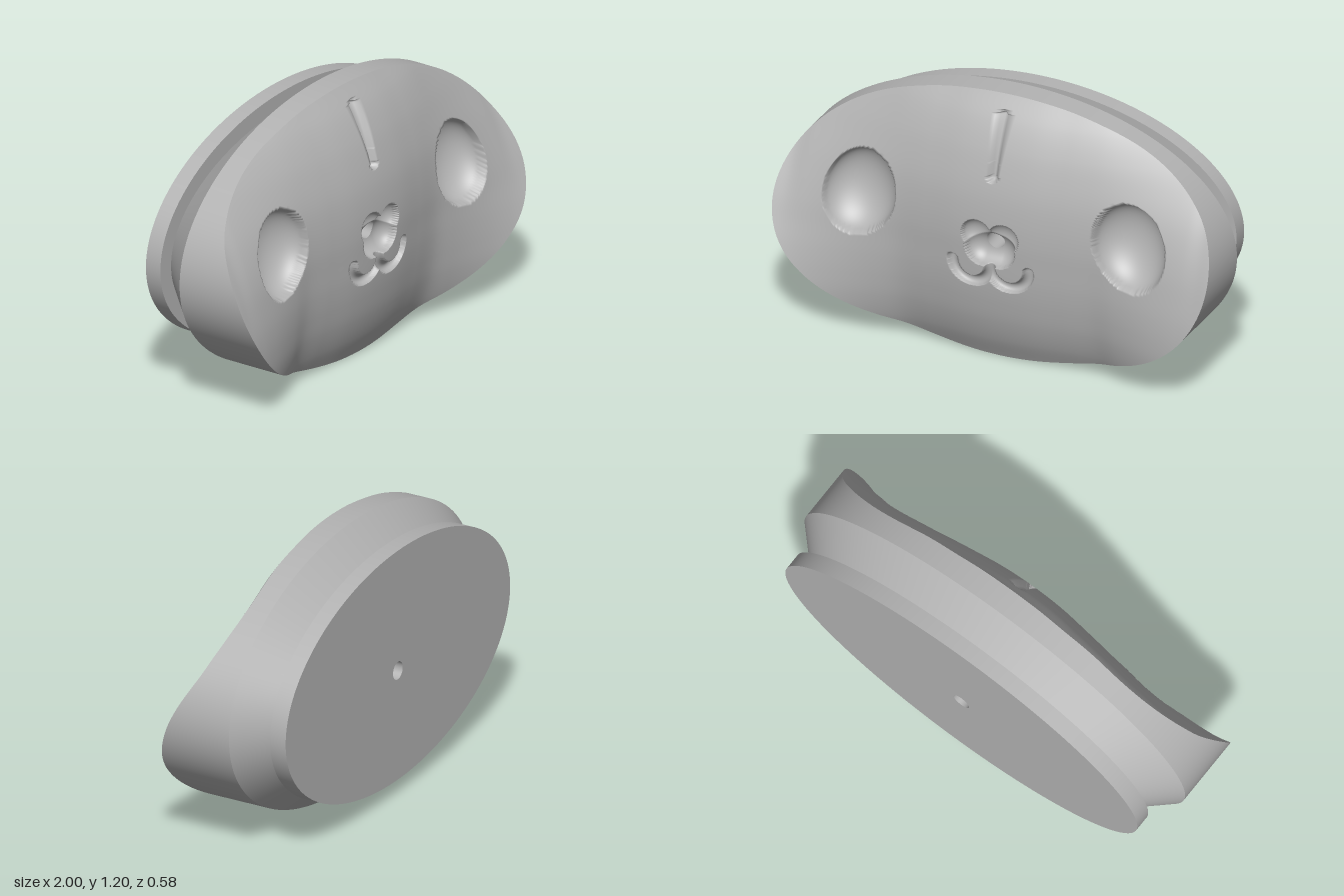
import * as THREE from 'three';

// Smooth curve through [position, value] keys (cubic Hermite)
function curve(keys) {
  const n = keys.length - 1;
  const slope = keys.map((k, i) => {
    const a = keys[Math.max(i - 1, 0)], b = keys[Math.min(i + 1, n)];
    return (b[1] - a[1]) / (b[0] - a[0]);
  });
  return (x) => {
    let i = 0;
    while (i < n - 1 && x > keys[i + 1][0]) i++;
    const [x0, y0] = keys[i], [x1, y1] = keys[i + 1], h = x1 - x0;
    const t = Math.min(Math.max((x - x0) / h, 0), 1), t2 = t * t, t3 = t2 * t;
    return y0 * (2 * t3 - 3 * t2 + 1) + y1 * (3 * t2 - 2 * t3) +
      h * (slope[i] * (t3 - 2 * t2 + t) + slope[i + 1] * (t3 - t2));
  };
}

// Face relief: a profile down the middle, plus cheeks that swell low and recede high
const middle = curve([[0, 0.115], [0.1, 0.165], [0.2, 0.2], [0.3, 0.222], [0.4, 0.236], [0.5, 0.243],
  [0.6, 0.247], [0.7, 0.243], [0.8, 0.23], [0.9, 0.205], [1, 0.17], [1.1, 0.12], [1.2, 0.05]]);
const cheekOffset = curve([[-0.15, -0.006], [0, 0], [0.15, -0.006], [0.31, -0.025], [0.44, -0.039],
  [0.55, -0.038], [0.75, -0.032], [0.87, -0.026], [0.94, -0.022], [1, -0.012]]);
const cheekTilt = curve([[-0.31, 0], [0, 0], [0.31, 0.003], [0.44, 0.022], [0.55, 0.085],
  [0.75, 0.22], [0.87, 0.313], [0.94, 0.385], [1, 0.43]]);
const relief = (x, y) =>
  middle(y) + cheekOffset(Math.abs(x)) - cheekTilt(Math.abs(x)) * (y - 0.6);

// Distance to a line from (ax, ay) to (bx, by)
function segment(x, y, ax, ay, bx, by) {
  const dx = bx - ax, dy = by - ay;
  const t = Math.min(Math.max(((x - ax) * dx + (y - ay) * dy) / (dx * dx + dy * dy), 0), 1);
  return Math.hypot(x - ax - t * dx, y - ay - t * dy);
}

// Hollows, mirrored in x: distance from the centre line, radius and depth
const hollows = [
  { // eye sockets
    radius: 0.17, depth: 0.13,
    dist: (x, y) => 0.17 * Math.hypot((x - 0.62 + 0.1 * (y - 0.67)) / 0.166, (y - 0.67) / 0.185),
  },
  { radius: 0.07, depth: 0.06, dist: (x, y) => Math.hypot(x - 0.06, y - 0.615) }, // upper nose lobes
  { radius: 0.08, depth: 0.075, dist: (x, y) => segment(x, y, -0.035, 0.555, 0.035, 0.555) }, // lower nose
  { // mouth arcs
    radius: 0.025, depth: 0.03,
    dist: (x, y) => y < 0.48
      ? Math.abs(Math.hypot(x - 0.087, y - 0.48) - 0.087)
      : Math.hypot(Math.abs(x - 0.087) - 0.087, y - 0.48),
  },
  { radius: 0.022, depth: 0.03, dist: (x, y) => segment(x, y, 0, 0.877, 0, 1.123) }, // forehead groove
];
const outline = (x, y) => Math.min(...hollows.map((h) => h.dist(Math.abs(x), y) - h.radius));

function carve(x, y) {
  let deepest = 0;
  for (const h of hollows) {
    const r = h.dist(Math.abs(x), y) / h.radius;
    if (r < 1) deepest = Math.max(deepest, h.depth * Math.sqrt(1 - r * r));
  }
  return deepest;
}

const SIDES = 300;
const HOLE_Y = 0.575, HOLE_R = 0.04;
const BACK = -0.29, STEP = -0.215, SHOULDER = -0.06;

// Closed rings joined into a smooth skin; point(angle, v) runs v from 0 to 1
function skin(steps, point) {
  const pos = [], idx = [];
  for (let j = 0; j <= steps; j++)
    for (let i = 0; i < SIDES; i++) pos.push(...point((i / SIDES) * Math.PI * 2, j / steps));
  for (let j = 0; j < steps; j++)
    for (let i = 0; i < SIDES; i++) {
      const k = (i + 1) % SIDES;
      const a = j * SIDES + i, b = a + SIDES, c = j * SIDES + k, d = c + SIDES;
      idx.push(a, b, c, c, b, d);
    }
  const g = new THREE.BufferGeometry();
  g.setAttribute('position', new THREE.Float32BufferAttribute(pos, 3));
  g.setIndex(idx);
  g.computeVertexNormals();
  return g;
}

// Ring makers: an oval inset from the body outline, and the peg hole
const oval = (inset, z) => (t) => [(1 - inset) * Math.cos(t), 0.6 + (0.6 - inset) * Math.sin(t), z];
const hole = (z) => (t) => [HOLE_R * Math.cos(t), HOLE_Y + HOLE_R * Math.sin(t), z];
const faceEdge = (ring) => (t) => {
  const [x, y] = ring(t);
  return [x, y, relief(x, y) - carve(x, y)];
};
const band = (from, to) => skin(1, (t, v) => {
  const a = from(t), b = to(t);
  return a.map((n, i) => n + (b[i] - n) * v);
});

// Face skin from the peg hole out to the rim, with points pulled onto hollow outlines
function faceGeometry() {
  const inner = hole(0), outer = oval(0, 0), e = 1e-4;
  return skin(180, (t, v) => {
    const a = inner(t), b = outer(t);
    let x = a[0] + (b[0] - a[0]) * v, y = a[1] + (b[1] - a[1]) * v;
    const d = outline(x, y);
    if (Math.abs(d) < 0.0018) {
      const gx = (outline(x + e, y) - d) / e, gy = (outline(x, y + e) - d) / e;
      x -= d * gx;
      y -= d * gy;
    }
    return [x, y, relief(x, y) - carve(x, y)];
  });
}

export function createModel() {
  const grey = new THREE.MeshStandardMaterial({ color: 0xb3b3b3 });
  grey.name = 'grey';
  const model = new THREE.Group();
  model.name = 'animalFacePlaque';
  const add = (name, geometry) => {
    const mesh = new THREE.Mesh(geometry, grey);
    mesh.name = name;
    model.add(mesh);
  };

  // Head
  add('face', faceGeometry());
  add('sideWall', band(faceEdge(oval(0, 0)), oval(0, SHOULDER)));
  add('backChamfer', band(oval(0, SHOULDER), oval(0.15, STEP)));

  // Back plate
  add('plateFront', band(oval(0.15, STEP), oval(0.075, STEP)));
  add('plateEdge', band(oval(0.075, STEP), oval(0.075, BACK)));
  add('plateBack', band(oval(0.075, BACK), hole(BACK)));

  // Hole straight through the nose
  add('pegHole', band(hole(BACK), faceEdge(hole(0))));
  return model;
}
